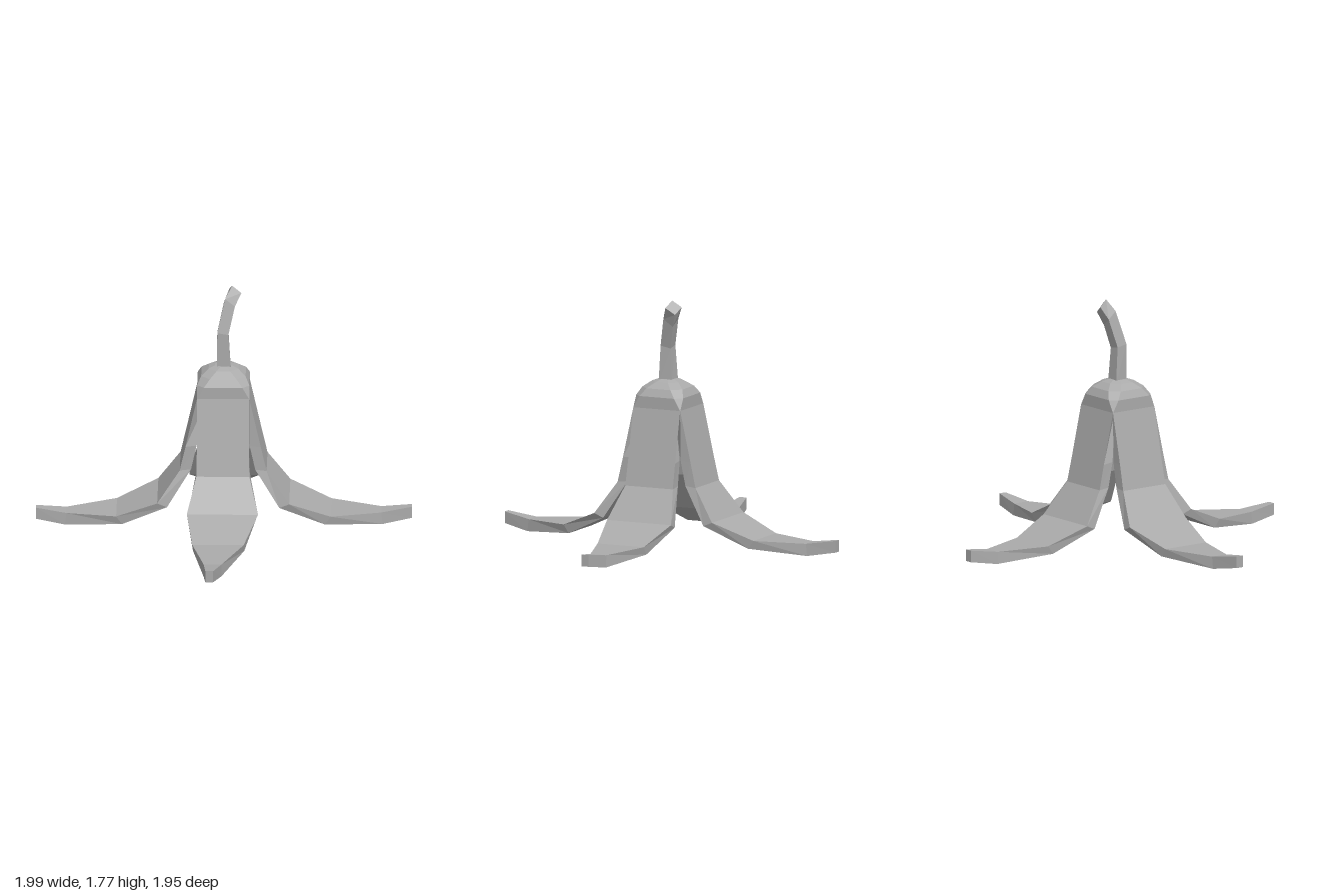
import * as THREE from 'three';

const peel = new THREE.MeshStandardMaterial({ color: 0xaaaaaa });
peel.name = 'peelGrey';

// Faceted skin through rings of [x, y, z] points, each wound about the direction of travel
function loft(name, rings, closeStart, closeEnd) {
  const pos = [];
  const n = rings[0].length;
  const tri = (a, b, c) => pos.push(...a, ...b, ...c);
  for (let i = 0; i < rings.length - 1; i++) {
    for (let j = 0; j < n; j++) {
      const k = (j + 1) % n;
      tri(rings[i][j], rings[i][k], rings[i + 1][k]);
      tri(rings[i][j], rings[i + 1][k], rings[i + 1][j]);
    }
  }
  const first = rings[0], last = rings[rings.length - 1];
  for (let j = 1; j < n - 1; j++) {
    if (closeStart) tri(first[0], first[j + 1], first[j]);
    if (closeEnd) tri(last[0], last[j], last[j + 1]);
  }
  const geo = new THREE.BufferGeometry();
  geo.setAttribute('position', new THREE.Float32BufferAttribute(pos, 3));
  geo.computeVertexNormals();
  const mesh = new THREE.Mesh(geo, peel);
  mesh.name = name;
  return mesh;
}

// Peel flap sections: outer radius, height, half width, then the same for the inner side
const FLAP = [
  [0.187, 1.0, 0.187, 0.10, 1.0, 0.10],
  [0.27, 0.63, 0.187, 0.19, 0.64, 0.185],
  [0.311, 0.45, 0.19, 0.23, 0.46, 0.19],
  [0.474, 0.22, 0.255, 0.403, 0.19, 0.25],
  [0.77, 0.10, 0.184, 0.728, 0.04, 0.184],
  [1.13, 0.088, 0.064, 1.14, 0.0, 0.064],
  [1.35, 0.12, 0.028, 1.35, 0.035, 0.028],
];

function flap(name, angle, bend, reach) {
  const side = (r) => bend * Math.max(0, r - 0.47);
  const rings = FLAP.map(([ro, yo, wo, ri, yi, wi], i) => {
    const s = i > 2 ? reach : 1;
    return [
      [side(ri) + wi, yi, ri * s],
      [side(ro) + wo, yo, ro * s],
      [side(ro) - wo, yo, ro * s],
      [side(ri) - wi, yi, ri * s],
    ];
  });
  const mesh = loft(name, rings, false, true);
  mesh.rotation.y = THREE.MathUtils.degToRad(angle);
  return mesh;
}

// Square dome with chamfered corners: corner radius, height, half chamfer
function crown() {
  const profile = [
    [0.264, 1.0, 0.001], [0.23, 1.085, 0.035], [0.18, 1.14, 0.045],
    [0.11, 1.18, 0.04], [0.06, 1.197, 0.025],
  ];
  const rings = profile.map(([R, y, h]) => {
    const ring = [];
    let a = [-h, R], b = [h, R];
    for (let k = 0; k < 4; k++) {
      ring.push([a[0], y, a[1]], [b[0], y, b[1]]);
      a = [a[1], -a[0]];
      b = [b[1], -b[0]];
    }
    return ring;
  });
  return loft('crown', rings, true, true);
}

// Bent square stem: left corner x, y, right corner x, y, half depth
function stem() {
  const sections = [
    [-0.065, 1.17, 0.07, 1.17, 0.074],
    [-0.063, 1.45, 0.05, 1.42, 0.056],
    [0.015, 1.69, 0.1, 1.585, 0.057],
    [0.085, 1.775, 0.15, 1.68, 0.062],
  ];
  const rings = sections.map(([xl, yl, xr, yr, d]) => {
    const x = (xl + xr) / 2, y = (yl + yr) / 2;
    return [[x, y, d], [xr, yr, 0], [x, y, -d], [xl, yl, 0]];
  });
  return loft('stem', rings, false, true);
}

export function createModel() {
  const model = new THREE.Group();
  model.name = 'fruitPeel';
  model.add(
    crown(),
    stem(),
    flap('frontLeftFlap', 45, 0, 1),
    flap('backLeftFlap', 135, 0, 1),
    flap('frontRightFlap', -45, -0.09, 0.985),
    flap('backRightFlap', -135, 0.075, 0.995),
  );
  model.position.set(0.015, 0, -0.003);
  const root = new THREE.Group();
  root.name = 'model';
  root.add(model);
  return root;
}
